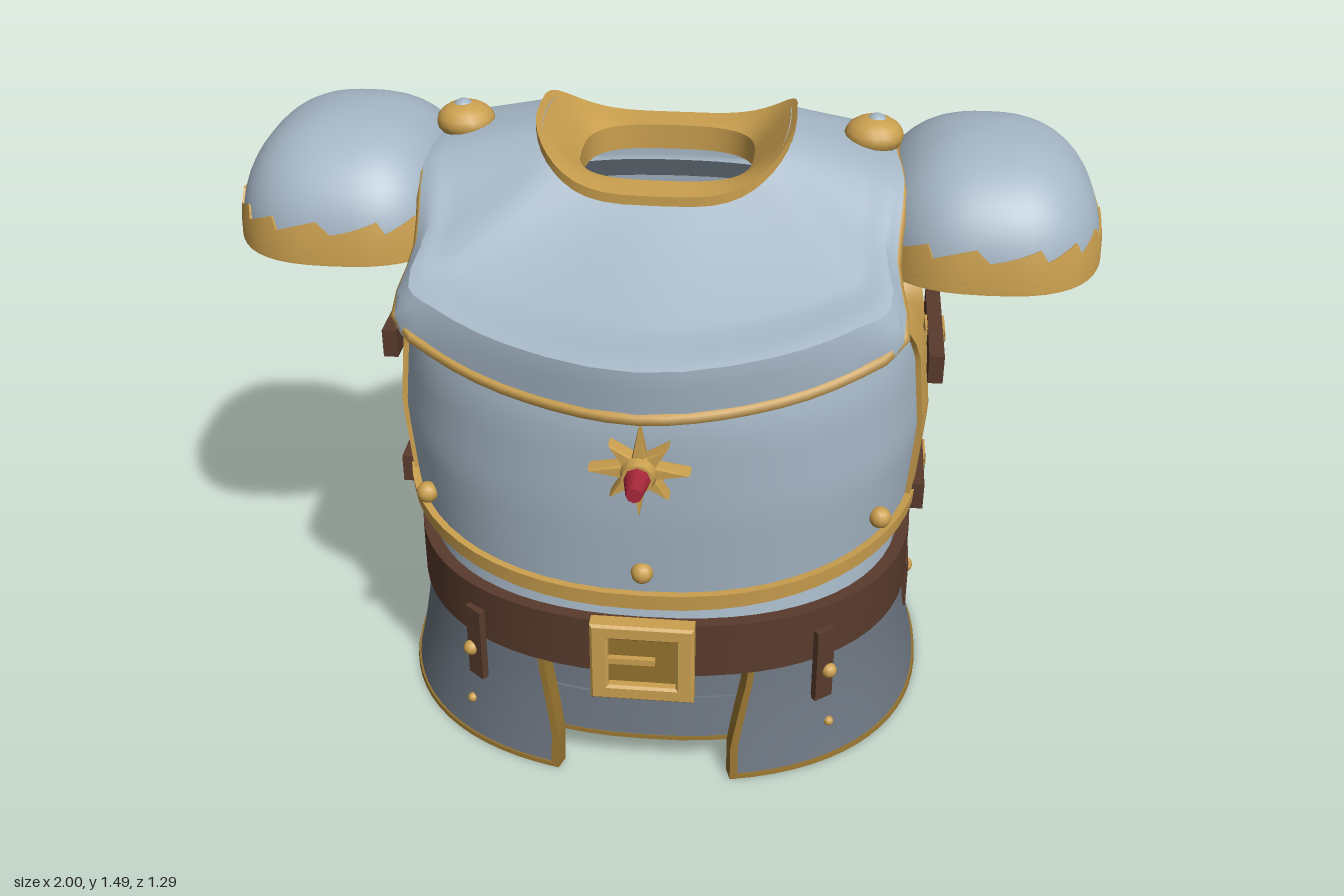
import * as THREE from 'three';
import { mergeGeometries, toCreasedNormals } from 'three/addons/utils/BufferGeometryUtils.js';

const paint = (name, color) => Object.assign(new THREE.MeshStandardMaterial({ color }), { name });
const { lerp } = THREE.MathUtils;
const ZC = -0.06; // body axis in z

// superellipse point at an angle measured from the front towards +x
function ring(t, rx, rz, n = 2.4) {
  const p = a => Math.sign(a) * Math.abs(a) ** (2 / n);
  return [rx * p(Math.sin(t)), rz * p(Math.cos(t))];
}
// piecewise linear lookup
function lut(y, pts) {
  let i = 0;
  while (i < pts.length - 2 && y > pts[i + 1][0]) i++;
  const [a, b] = [pts[i], pts[i + 1]];
  return lerp(a[1], b[1], Math.min(1, Math.max(0, (y - a[0]) / (b[0] - a[0]))));
}
// solid curved plate: f(u, v, w) -> [x, y, z], w is the outward offset
function slab(f, nu, nv, { u = [0, 1], v = [0, 1], w = [-0.03, 0], closed = false } = {}) {
  const face = (g, na, nb) => {
    const pos = [], idx = [];
    for (let j = 0; j <= nb; j++) for (let i = 0; i <= na; i++) pos.push(...g(i / na, j / nb));
    for (let j = 0; j < nb; j++) for (let i = 0; i < na; i++) {
      const a = j * (na + 1) + i, c = a + na + 1;
      idx.push(a, a + 1, c + 1, a, c + 1, c);
    }
    const geo = new THREE.BufferGeometry();
    geo.setAttribute('position', new THREE.Float32BufferAttribute(pos, 3));
    geo.setIndex(idx);
    return geo;
  };
  const q = (a, b, c) => f(lerp(u[0], u[1], a), lerp(v[0], v[1], b), lerp(w[0], w[1], c));
  const faces = [
    face((a, b) => q(a, b, 1), nu, nv), face((a, b) => q(1 - a, b, 0), nu, nv),
    face((a, b) => q(a, 1, 1 - b), nu, 1), face((a, b) => q(a, 0, b), nu, 1),
  ];
  if (!closed) faces.push(face((a, b) => q(1, b, 1 - a), 1, nv), face((a, b) => q(0, b, a), 1, nv));
  return toCreasedNormals(mergeGeometries(faces), 0.6);
}

export function createModel() {
  const steel = paint('steel', 0xa4b5c4), darkSteel = paint('darkSteel', 0x6d7682);
  const gold = paint('gold', 0xcba04f), darkGold = paint('darkGold', 0x94722f);
  const leather = paint('leather', 0x593b2d), ruby = paint('ruby', 0xa8283a);
  const model = new THREE.Group();
  const add = (name, geo, mat, pos = [0, 0, 0], rotY = 0) => {
    const m = new THREE.Mesh(geo, mat);
    m.name = name;
    m.position.set(...pos);
    m.rotation.y = rotY;
    model.add(m);
    return m;
  };
  const box = (name, size, mat, pos, rotY) => add(name, new THREE.BoxGeometry(...size), mat, pos, rotY);
  const stud = (pos, r = 0.026) => add('stud', new THREE.SphereGeometry(r, 12, 8), gold, pos);

  // breastplate and backplate
  const body = [
    { name: 'breastplate', s: 1, yEdge: 0.59, bottom: x => 0.52 + 0.07 * (x / 0.62) ** 2,
      rz: [[0.5, 0.56], [0.8, 0.585], [1, 0.588], [1.12, 0.56], [1.2, 0.43]] },
    { name: 'backplate', s: -1, yEdge: 0.54, bottom: () => 0.54,
      rz: [[0.5, 0.555], [0.9, 0.56], [1.12, 0.54], [1.2, 0.42]] },
  ];
  const bodyRx = [[0.5, 0.605], [0.8, 0.63], [1, 0.61], [1.12, 0.575], [1.2, 0.5]];
  for (const { name, s, yEdge, bottom, rz } of body) {
    const f = (u, v, w) => {
      const yn = lerp(yEdge, 1.2, v), r = lut(yn, rz);
      const edge = 0.11 + Math.max(0, yn - 1) * 0.75;
      const t = (2 * u - 1) * Math.acos((edge / r) ** 1.2);
      const [x, z] = ring(t, lut(yn, bodyRx) + w, r + w);
      return [x * s, lerp(bottom(x), 1.2, v), ZC + z * s];
    };
    add(name, slab(f, 28, 14), steel);
    add(name + 'BottomTrim', slab(f, 28, 1, { v: [-0.025, 0.035], w: [-0.012, 0.018] }), gold);
    for (const u of [[-0.003, 0.05], [0.95, 1.003]])
      add(name + 'SideTrim', slab(f, 2, 14, { u, w: [-0.04, 0.012] }), gold);
    if (s > 0) add('breastplateLining', slab(f, 28, 10, { u: [0.04, 0.96], v: [0.25, 1], w: [-0.036, -0.028] }), gold);
  }
  for (const s of [1, -1]) {
    stud([s * 0.53, 0.655, 0.32]);
    stud([s * 0.5, 1.13, 0.335]);
  }
  stud([0, 0.6, 0.515]);

  // eight-pointed star ornament with a jewel
  const star = new THREE.Shape();
  for (let i = 0; i < 16; i++) {
    const a = i * Math.PI / 8, r = i % 2 ? 0.035 : i % 4 ? 0.088 : 0.107;
    star[i ? 'lineTo' : 'moveTo'](r * Math.cos(a), r * Math.sin(a));
  }
  star.closePath();
  const starBevel = { depth: 0.028, bevelSize: 0.003, bevelThickness: 0.008, bevelSegments: 1 };
  add('star', new THREE.ExtrudeGeometry(star, starBevel), gold, [0, 0.895, 0.53]);
  add('starBoss', new THREE.CylinderGeometry(0.035, 0.042, 0.03, 12).rotateX(Math.PI / 2), gold, [0, 0.895, 0.575]);
  add('jewel', new THREE.CylinderGeometry(0.018, 0.033, 0.08, 8).rotateX(Math.PI / 2), ruby, [0, 0.895, 0.612]);

  // shoulder mantle between an outer hem and the neck opening
  const half = [[0, 1.06, 0.585], [0.3, 1.08, 0.515], [0.48, 1.13, 0.44], [0.55, 1.17, 0.4], [0.53, 1.27, 0.24],
    [0.54, 1.39, 0.08], [0.52, 1.415, -0.07], [0.54, 1.39, -0.22], [0.55, 1.24, -0.38], [0.51, 1.18, -0.46],
    [0.4, 1.14, -0.57], [0.2, 1.125, -0.625], [0, 1.125, -0.635]];
  const loop = [...half, ...half.slice(1, -1).reverse().map(([x, y, z]) => [-x, y, z])];
  const hem = new THREE.CatmullRomCurve3(loop.map(p => new THREE.Vector3(...p)), true);
  const rimY = t => 1.36 + 0.11 * Math.abs(Math.sin(t)) ** 2.5;
  const mantle = (u, v, w) => {
    const t = u * 2 * Math.PI, c = Math.cos(t), o = hem.getPoint((u + 1) % 1), [x, z] = ring(t, 0.28, 0.25, 3);
    const lift = (c > 0 ? 0.085 : 0.07) * Math.min(1, v / 0.1) * (1 - v) ** 1.7 * c * c;
    const lip = (c > 0 ? 0.055 : 0.04) * Math.sin(Math.PI * Math.min(1, v / 0.25)) * c ** 3;
    return [lerp(o.x, x, v), lerp(o.y, rimY(t), v) + lift + w, lerp(o.z, z - 0.07, v) + lip];
  };
  add('mantle', slab(mantle, 72, 20, { closed: true }), steel);
  const hemLow = new THREE.CatmullRomCurve3(loop.map(([x, y, z]) => new THREE.Vector3(x * 0.985, y - 0.02, z * 0.985)), true);
  add('mantleTrim', new THREE.TubeGeometry(hemLow, 72, 0.018, 6, true), gold);
  const neck = (u, v, w) => {
    const t = u * 2 * Math.PI, [x, z] = ring(t, lerp(0.295, 0.2, v), lerp(0.26, 0.17, v), 3);
    return [x, lerp(rimY(t), 1.36, v) + w, z - 0.07];
  };
  add('neckRim', slab(neck, 48, 2, { closed: true, w: [-0.045, 0.015] }), gold);
  add('neckTab', slab(mantle, 8, 3, { u: [0.44, 0.535], v: [0.78, 1], w: [0, 0.008] }), gold);

  // pauldrons, mirrored
  for (const s of [1, -1]) {
    const plan = (t, k, w) => {
      const [x, z] = ring(t, k, k, 2.6);
      return [s * 0.73 + x * ((x * s > 0 ? 0.265 : 0.26) + w), z * (0.308 + w) - 0.07];
    };
    const dome = (u, v, w) => {
      const [k, h] = ring(Math.max(0, 1 - v) * Math.PI / 2, 1, 0.27 + w, 2.3);
      const [x, z] = plan(u * 2 * Math.PI, k, w);
      return [x, 1.2 + h, z];
    };
    add('pauldron', slab(dome, 48, 14, { closed: true }), steel);
    // toothed painted band
    const band = (u, v, w) => dome(u, v * (0.13 + 0.08 * ((u * 16) % 1)), w);
    add('pauldronBand', slab(band, 96, 2, { closed: true, w: [0, 0.005] }), gold);
    const rim = (u, v, w) => {
      const [x, z] = plan(u * 2 * Math.PI, 1, w);
      return [x, 1.196 + 0.09 * v, z];
    };
    add('pauldronRim', slab(rim, 48, 1, { closed: true, v: [0, 0.3], w: [-0.05, 0.004] }), gold);
    add('pauldronLining', slab(rim, 48, 1, { closed: true, v: [0.3, 1], w: [-0.05, -0.035] }), gold);
    const cap = add('shoulderBoss', new THREE.SphereGeometry(0.068, 16, 10), gold, [s * 0.47, 1.437, -0.07]);
    cap.scale.y = 0.65;
    add('shoulderBossTip', new THREE.SphereGeometry(0.028, 10, 8), steel, [s * 0.475, 1.46, -0.07]);

    // side straps with buckles
    for (const [x, y, z] of [[0.642, 0.945, -0.045], [0.622, 0.59, -0.055]]) {
      box('sideStrap', [0.035, 0.07, 0.355], leather, [s * x, y, z]);
      box('strapBuckle', [0.046, 0.066, 0.072], gold, [s * x, y, z]);
      box('strapBuckleInset', [0.05, 0.038, 0.042], leather, [s * x, y, z]);
      box('strapBuckleTongue', [0.054, 0.01, 0.042], gold, [s * x, y, z]);
    }
  }

  // waist shells, front and back
  for (const [s, edge, dip] of [[1, 0.055, 0.04], [-1, 0.045, 0]]) {
    const waist = (u, v, w) => {
      const t = (2 * u - 1) * Math.acos((edge / 0.51) ** 1.15);
      const [x, z] = ring(t, lerp(0.585, 0.565, v) + w, lerp(0.53, 0.495, v) + w, 2.3);
      return [x * s, lerp(0.34, 0.535 - dip * Math.cos(t), v), ZC + z * s];
    };
    add('waist', slab(waist, 32, 2, { w: [-0.012, 0] }), steel);
  }

  // skirt: two side panels over stepped inner lames that show in the notches
  const skirtAt = (t, y, w) => {
    const [x, z] = ring(t, lut(y, [[0, 0.657], [0.1, 0.635], [0.2, 0.618], [0.34, 0.605]]) + w,
      lut(y, [[0, 0.585], [0.1, 0.57], [0.2, 0.557], [0.34, 0.546]]) + w, 2.3);
    return [x, y, ZC + z];
  };
  for (const turn of [0, Math.PI]) {
    const panel = (u, v, w) => {
      const y = v * 0.34, x = lut(y, [[0, 0.2], [0.09, 0.205], [0.28, 0.25]]);
      const t = Math.asin((x / 0.62) ** 1.15);
      return skirtAt(turn + lerp(t, Math.PI - t, u), y, w);
    };
    add('skirtPanel', slab(panel, 32, 8, { w: [-0.025, 0] }), darkSteel);
    add('skirtHem', slab(panel, 32, 1, { v: [0, 0.03], w: [-0.03, 0.005] }), darkGold);
    for (const u of [[-0.003, 0.008], [0.992, 1.003]])
      add('skirtEdge', slab(panel, 1, 8, { u, w: [-0.03, 0.005] }), darkGold);
  }
  for (let i = -1; i < 3; i++) {
    const lame = (u, v, w) => skirtAt(u * 2 * Math.PI, lerp(0.25, 0.36, v) - i * 0.08, w - 0.048 + i * 0.007);
    add('lame', slab(lame, 64, 1, { closed: true, w: [-0.012, 0] }), darkSteel);
    if (i === 2) add('lameTrim', slab(lame, 64, 1, { closed: true, v: [-0.06, 0.03], w: [-0.015, 0.003] }), darkGold);
  }

  // belt, buckle and hanging tabs
  const belt = (u, v, w) => {
    const [x, z] = ring(u * 2 * Math.PI, 0.62 + w, 0.558 + w, 2.3);
    return [x, lerp(0.295, 0.44, v), ZC + z];
  };
  add('belt', slab(belt, 64, 1, { closed: true }), leather);
  const rect = (P, w, h) => new P([[-w, -h], [w, -h], [w, h], [-w, h]].map(p => new THREE.Vector2(...p)));
  const frame = rect(THREE.Shape, 0.115, 0.1);
  frame.holes.push(rect(THREE.Path, 0.085, 0.073));
  const bevel = { depth: 0.035, bevelSize: 0.006, bevelThickness: 0.006, bevelSegments: 1 };
  add('buckleFrame', new THREE.ExtrudeGeometry(frame, bevel), gold, [0, 0.355, 0.5]);
  box('buckleBack', [0.18, 0.16, 0.03], darkGold, [0, 0.355, 0.503]);
  box('buckleTongue', [0.11, 0.016, 0.02], gold, [-0.025, 0.355, 0.522]);
  for (const t of [0.68, -0.68, Math.PI - 0.68, Math.PI + 0.68]) {
    const [x, , z] = skirtAt(t, 0.25, 0.012);
    box('beltTab', [0.05, 0.2, 0.018], leather, [x, 0.28, z], t);
    stud(skirtAt(t + Math.sign(Math.sin(2 * t)) * 0.02, 0.26, 0.022), 0.019);
    stud(skirtAt(t + Math.sign(Math.sin(2 * t)) * 0.03, 0.1, 0.002), 0.012);
  }
  for (const s of [1, -1]) {
    box('sideTab', [0.02, 0.13, 0.14], leather, [s * 0.615, 0.245, ZC]);
    stud([s * 0.62, 0.26, ZC], 0.02);
  }
  return model;
}
